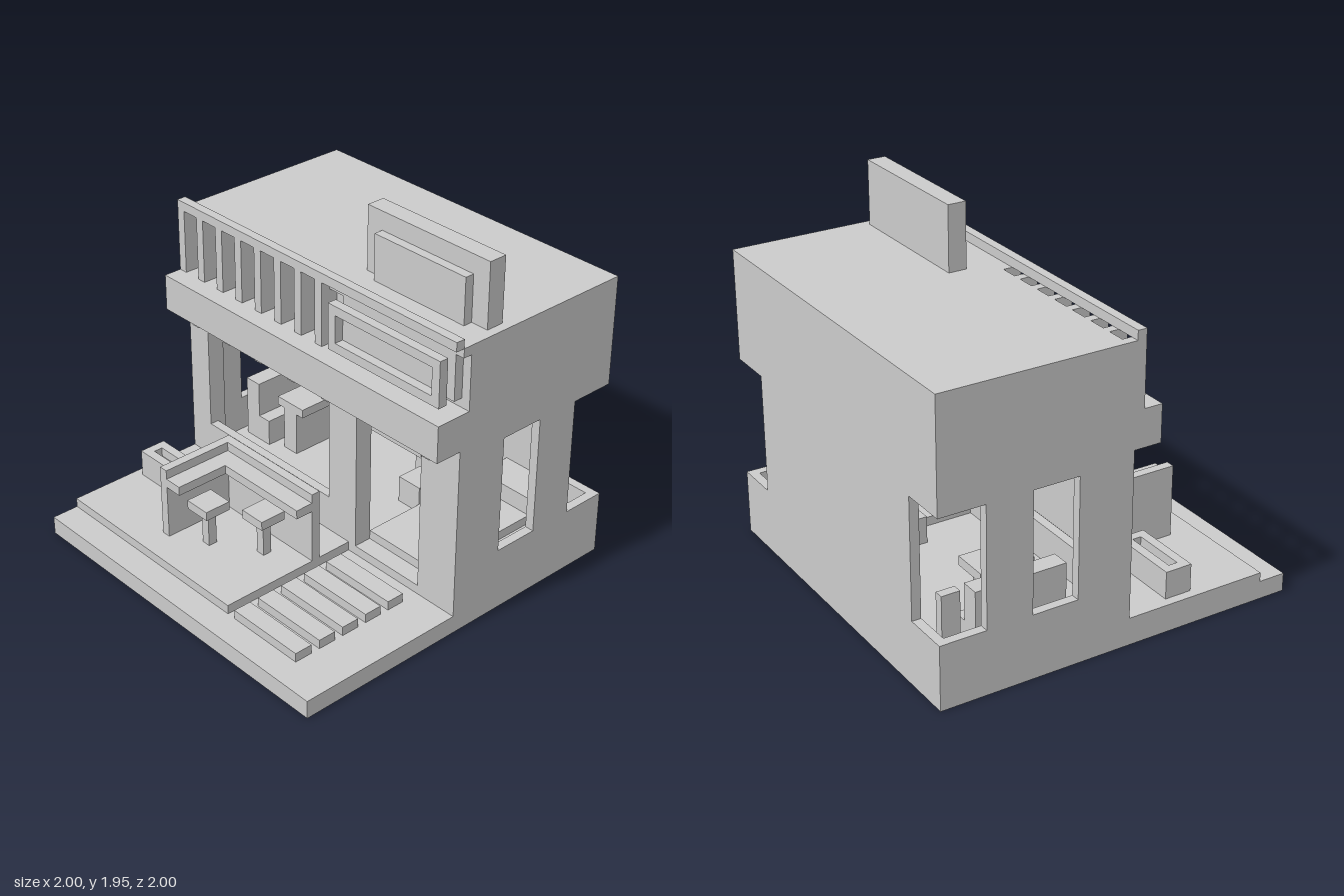
import * as THREE from 'three';

export function createModel() {
  const model = new THREE.Group();
  const material = new THREE.MeshStandardMaterial({ color: 0xcccccc, flatShading: true });

  // Box given by its extents on each axis
  function box(name, [x0, x1], [y0, y1], [z0, z1], parent = model) {
    const mesh = new THREE.Mesh(new THREE.BoxGeometry(x1 - x0, y1 - y0, z1 - z0), material);
    mesh.position.set((x0 + x1) / 2, (y0 + y1) / 2, (z0 + z1) / 2);
    mesh.name = name;
    parent.add(mesh);
    return mesh;
  }
  function group(name) {
    const g = new THREE.Group();
    g.name = name;
    model.add(g);
    return g;
  }
  // Upright rectangular ring with its thickness along z
  function ring(name, w, h, border, depth) {
    const rect = (s, a, b) => s.moveTo(-a, -b).lineTo(a, -b).lineTo(a, b).lineTo(-a, b).closePath();
    const shape = rect(new THREE.Shape(), w / 2, h / 2);
    shape.holes.push(rect(new THREE.Path(), w / 2 - border, h / 2 - border));
    const mesh = new THREE.Mesh(
      new THREE.ExtrudeGeometry(shape, { depth, bevelEnabled: false }), material);
    mesh.name = name;
    model.add(mesh);
    return mesh;
  }

  // Ground and floors
  box('base', [-1, 1], [0, 0.1], [-1, 1]);
  box('deck', [-1, 0.25], [0.1, 0.15], [0.05, 0.85]);
  box('floor', [-0.95, 0.95], [0.1, 0.15], [-0.95, 0.05]);
  box('entryPlatform', [0.3, 0.75], [0.15, 0.2], [-0.95, -0.05]);
  for (let i = 0; i < 5; i++) box('pathSlat', [0.3, 0.75], [0.1, 0.15], [0.15 + i * 0.15, 0.25 + i * 0.15]);

  // Side walls with a window each and open rear corners
  for (const s of [-1, 1]) {
    const xs = s < 0 ? [-1, -0.95] : [0.95, 1];
    box('sideSill', xs, [0.1, 0.35], [-1, 0.05]);
    box('sideWallFront', xs, [0.35, 1], [-0.25, 0.05]);
    box('sideWallRear', xs, [0.35, 1], [-0.75, -0.5]);
  }
  box('backSill', [-0.95, 0.95], [0.1, 0.35], [-1, -0.95]);
  box('backWall', [-0.75, 0.75], [0.35, 1], [-1, -0.95]);

  // Front columns and window sill
  box('leftEndColumn', [0.75, 0.95], [0.1, 1], [-0.05, 0.05]);
  box('rightEndColumn', [-0.95, -0.85], [0.1, 1], [-0.05, 0.05]);
  box('middleColumn', [0.1, 0.3], [0.1, 1], [-0.05, 0.05]);
  box('frontSill', [-0.85, 0.1], [0.1, 0.35], [0, 0.05]);

  // Upper storey and fascia
  box('upperStorey', [-1, 1], [1, 1.6], [-1, 0]);
  box('lintel', [-1, 1], [1, 1.05], [0, 0.05]);
  box('fascia', [-1, 1], [1.05, 1.25], [0, 0.2]);
  for (const x of [-0.85, -0.6, -0.35, -0.1, 0.15, 0.85])
    box('awningPeg', [x, x + 0.05], [1, 1.05], [0.1, 0.15]);

  // Slatted screen
  for (let i = 0; i < 8; i++) {
    const x = -1 + i * 0.15;
    box('slat', [x, x + 0.05], [1.25, 1.6], [0, 0.1]);
  }
  box('screenRail', [-1, 1], [1.6, 1.65], [0.05, 0.1]);
  box('roofLip', [0.1, 1], [1.55, 1.6], [0, 0.05]);

  // Framed panel on the front
  box('panelBack', [0.2, 0.95], [1.3, 1.55], [0, 0.05]);
  box('panelCore', [0.25, 0.9], [1.35, 1.5], [0.05, 0.1]);
  ring('panelFrame', 0.75, 0.25, 0.05, 0.05).position.set(0.575, 1.425, 0.1);

  // Roof board
  box('roofBoard', [0.15, 0.95], [1.6, 1.95], [-0.25, -0.15]);
  box('roofBoardPanel', [0.25, 0.85], [1.6, 1.85], [-0.15, -0.1]);

  // Patio bar: L-shaped wall with a lower counter inside it
  const bar = group('patioBar');
  box('barSideWall', [-0.45, -0.4], [0.15, 0.55], [0.25, 0.7], bar);
  box('barBackWall', [-0.4, 0.25], [0.15, 0.55], [0.25, 0.3], bar);
  box('barSideCounter', [-0.4, -0.3], [0.45, 0.5], [0.3, 0.7], bar);
  box('barBackCounter', [-0.3, 0.25], [0.45, 0.5], [0.3, 0.4], bar);

  // Stools
  for (const [x, z] of [[-0.3, 0.5], [-0.05, 0.35]]) {
    const stool = group('stool');
    box('stoolSeat', [x, x + 0.15], [0.35, 0.4], [z, z + 0.15], stool);
    box('stoolPost', [x + 0.05, x + 0.1], [0.15, 0.35], [z + 0.05, z + 0.1], stool);
  }

  // Planter: ring laid flat over a shallow bottom
  const planter = ring('planterRim', 0.4, 0.15, 0.05, 0.05);
  planter.rotation.x = -Math.PI / 2;
  planter.position.set(-0.75, 0.25, 0.375);
  box('planterBody', [-0.95, -0.55], [0.15, 0.25], [0.3, 0.45]);

  // Indoor seating
  box('tableTop', [-0.7, -0.5], [0.4, 0.45], [-0.6, -0.3]);
  box('tableBase', [-0.65, -0.55], [0.15, 0.4], [-0.55, -0.3]);
  box('benchBack', [-0.9, -0.8], [0.15, 0.5], [-0.75, -0.25]);
  box('benchSeat', [-0.8, -0.72], [0.15, 0.3], [-0.75, -0.25]);
  box('rearChair', [-0.85, -0.8], [0.15, 0.5], [-0.9, -0.8]);
  box('innerTableTop', [0, 0.2], [0.4, 0.45], [-0.8, -0.55]);
  box('innerTablePost', [0.05, 0.15], [0.15, 0.4], [-0.72, -0.62]);
  box('innerSeat', [0.15, 0.3], [0.15, 0.3], [-0.55, -0.4]);
  box('rearBench', [0.4, 0.75], [0.2, 0.3], [-0.95, -0.75]);

  // Pendant lamps
  for (const [x, r] of [[-0.6, 0.05], [0, 0.1]]) {
    const lamp = group('pendantLamp');
    box('lampShade', [x - r, x + r], [0.7, 0.75], [-0.5, -0.3], lamp);
    box('lampStem', [x - 0.05, x + 0.05], [0.75, 1], [-0.45, -0.35], lamp);
  }

  // Hanging board in the doorway
  box('hangingBoard', [0.35, 0.7], [0.85, 0.95], [-0.05, 0]);
  for (const x of [0.4, 0.6]) box('boardHanger', [x, x + 0.05], [0.95, 1], [-0.05, 0]);

  return model;
}
